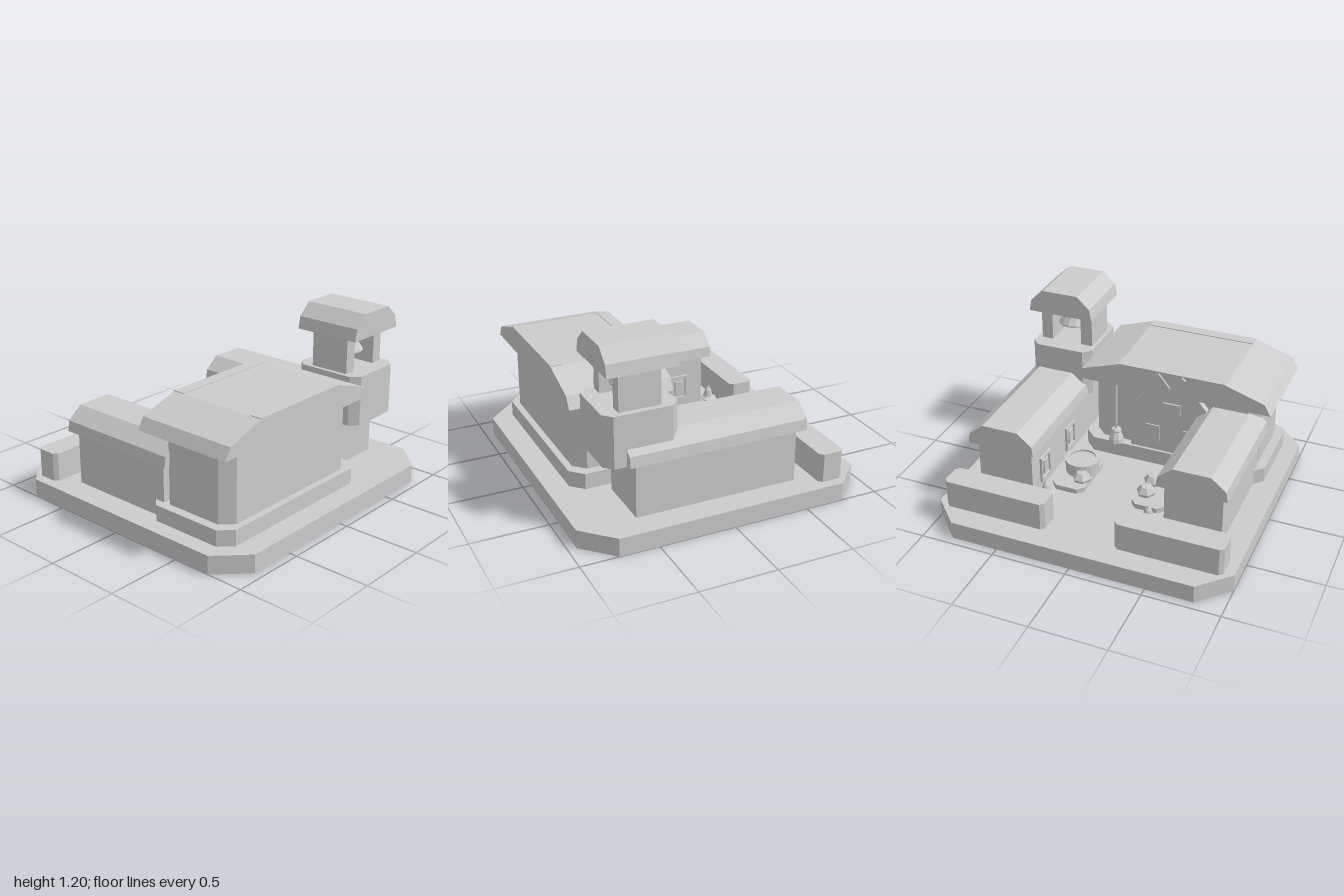
import * as THREE from 'three';

// double-sided because the ground slab is an open shell
const stone = new THREE.MeshStandardMaterial({ color: 0xcccccc, side: THREE.DoubleSide });
stone.name = 'plain grey';

export function createModel() {
  const root = new THREE.Group();
  root.name = 'courtyardBuilding';

  const add = (name, geo, x = 0, y = 0, z = 0) => {
    // split corners so every facet stays flat
    const flat = geo.index ? geo.toNonIndexed() : geo;
    flat.computeVertexNormals();
    const m = new THREE.Mesh(flat, stone);
    m.name = name;
    m.position.set(x, y, z);
    root.add(m);
    return m;
  };
  // box given by its limits
  const box = (name, x0, x1, y0, y1, z0, z1) =>
    add(name, new THREE.BoxGeometry(x1 - x0, y1 - y0, z1 - z0), (x0 + x1) / 2, (y0 + y1) / 2, (z0 + z1) / 2);
  // polygon in x and y, extruded along z
  const prism = (name, pts, z0, z1) => {
    const s = new THREE.Shape(pts.map(p => new THREE.Vector2(p[0], p[1])));
    return add(name, new THREE.ExtrudeGeometry(s, { depth: z1 - z0, bevelEnabled: false }), 0, 0, z0);
  };
  // rectangle with cut corners, as points in x and -z
  const cutRect = (x0, x1, z0, z1, c) => [[x0 + c, -z1], [x1 - c, -z1], [x1, -z1 + c], [x1, -z0 - c],
    [x1 - c, -z0], [x0 + c, -z0], [x0, -z0 - c], [x0, -z1 + c]].map(p => new THREE.Vector2(p[0], p[1]));
  // upright block with cut corners
  const block = (name, x0, x1, y0, y1, z0, z1, c) => {
    const s = new THREE.Shape(cutRect(x0, x1, z0, z1, c));
    const g = new THREE.ExtrudeGeometry(s, { depth: y1 - y0, bevelEnabled: false });
    g.rotateX(-Math.PI / 2);
    return add(name, g, 0, y0, 0);
  };
  const lathe = (name, pts, sides, x, y, z) =>
    add(name, new THREE.LatheGeometry(pts.map(p => new THREE.Vector2(p[0], p[1])), sides), x, y, z);
  // six-sided roof profile: half widths at eave, knee and ridge
  const roof = (name, cx, w, y, z0, z1) => prism(name, [
    [cx - w[0], y[0]], [cx + w[0], y[0]], [cx + w[1], y[1]],
    [cx + w[2], y[2]], [cx - w[2], y[2]], [cx - w[1], y[1]]], z0, z1);

  // ground slab: a top and a skirt, open underneath
  const rim = cutRect(-1, 1, -0.945, 0.945, 0.19);
  add('baseTop', new THREE.ShapeGeometry(new THREE.Shape(rim)).rotateX(-Math.PI / 2), 0, 0.12, 0);
  const skirt = [];
  rim.forEach((a, i) => {
    const b = rim[(i + 1) % rim.length];
    skirt.push(a.x, 0, -a.y, b.x, 0, -b.y, b.x, 0.12, -b.y, a.x, 0, -a.y, b.x, 0.12, -b.y, a.x, 0.12, -a.y);
  });
  add('baseSkirt', new THREE.BufferGeometry().setAttribute('position', new THREE.Float32BufferAttribute(skirt, 3)));

  // main hall
  block('hallPlinth', -0.89, 0.39, 0.12, 0.225, 0.16, 0.80, 0.08);
  block('hallWalls', -0.83, 0.33, 0.225, 0.70, 0.22, 0.757, 0.075);
  roof('hallRoof', -0.25, [0.675, 0.63, 0.37], [0.69, 0.765, 0.85], 0.14, 0.82);
  for (const z of [0.14, 0.74]) box('ridgeTrim', -0.62, 0.12, 0.849, 0.855, z, z + 0.08);
  box('hallSideWindow', 0.32, 0.35, 0.40, 0.53, 0.50, 0.65);

  // raised arch with windows and a plaque on the courtyard side
  prism('archPanel', [[-0.54, 0.22], [0.04, 0.22], [0.04, 0.54], [-0.09, 0.695],
    [-0.41, 0.695], [-0.54, 0.54]], 0.178, 0.23);
  for (const x of [-0.12, -0.38]) box('archWindow', x - 0.045, x + 0.045, 0.30, 0.42, 0.168, 0.18);
  box('archPlaque', -0.31, -0.19, 0.53, 0.61, 0.165, 0.18);
  for (const s of [-1, 1]) {
    const brace = box('gableBrace', -0.015, 0.015, 0, 0.15, 0.127, 0.142);
    brace.position.set(-0.25 + s * 0.045, 0.78, 0.134);
    brace.rotation.z = -s * 0.7;
  }

  // thin post with a flared foot beneath the eave
  lathe('porchPost', [[0, 0], [0.055, 0], [0.05, 0.03], [0.03, 0.075], [0.038, 0.085],
    [0.03, 0.1], [0.009, 0.105], [0.009, 0.47]], 8, 0.15, 0.225, 0.18);

  // side wings with inner windows, hedges, shrubs and garden beds
  for (const s of [-1, 1]) {
    const cx = s * 0.643;
    const end = s > 0 ? 0.575 : 0.25;
    box('wingWalls', cx - 0.19, cx + 0.19, 0.12, 0.48, -0.50, end);
    roof('wingRoof', cx, [0.23, 0.22, 0.122], [0.475, 0.545, 0.625], -0.553, end + 0.05);
    for (const z of [-0.32, 0.07]) {
      // frame of four bars around a recessed pane
      const a = s * 0.446, bar = (y0, y1, z0, z1) => box('wingWindowFrame', a - 0.009, a + 0.009, y0, y1, z0, z1);
      bar(0.17, 0.19, z - 0.07, z + 0.07);
      bar(0.33, 0.35, z - 0.07, z + 0.07);
      bar(0.19, 0.33, z - 0.07, z - 0.05);
      bar(0.19, 0.33, z + 0.05, z + 0.07);
      box('wingWindowPane', a - 0.008, a + 0.008, 0.21, 0.31, z - 0.03, z + 0.03);
    }

    const hx = s * 0.585;
    block('hedge', hx - 0.35, hx + 0.35, 0.12, 0.31, -0.795, -0.625, 0.025);

    // shrub in a small pot
    lathe('shrub', [[0, 0], [0.045, 0], [0.025, 0.045], [0.06, 0.07], [0.035, 0.085],
      [0.022, 0.13], [0, 0.165]], 8, s * 0.352, 0.12, -0.507);

    block('gardenBed', s * 0.28 - 0.113, s * 0.28 + 0.113, 0.12, 0.155, -0.365, 0.025, 0.04);
  }

  // rocks on the beds
  for (const [x, z] of [[-0.23, -0.23], [-0.23, -0.1], [0.22, -0.245]]) {
    const rock = lathe('rock', [[0.055, 0], [0.065, 0.025], [0.035, 0.065], [0, 0.07]], 6, x, 0.15, z);
    rock.rotation.y = Math.PI / 6;
  }

  // round well with a raised rim
  lathe('well', [[0, 0], [0.113, 0], [0.113, 0.07], [0.12, 0.075], [0.12, 0.1],
    [0.09, 0.1], [0.09, 0.085], [0, 0.085]], 20, 0.265, 0.15, -0.13);

  // bell tower
  block('towerBody', 0.388, 0.825, 0.467, 0.80, 0.28, 0.757, 0.053);
  box('belfryWall', 0.415, 0.497, 0.79, 1.05, 0.39, 0.657);
  box('belfryWall', 0.708, 0.787, 0.79, 1.05, 0.39, 0.657);
  roof('towerRoof', 0.603, [0.228, 0.212, 0.125], [1.04, 1.12, 1.2], 0.297, 0.743);

  // bell, its mount and clapper
  box('bellMount', 0.577, 0.627, 1.01, 1.045, 0.498, 0.548);
  lathe('bell', [[0, 0.012], [0.09, 0.004], [0.106, 0], [0.106, 0.01], [0.08, 0.045],
    [0.058, 0.085], [0.045, 0.125], [0, 0.125]], 12, 0.602, 0.893, 0.523);
  add('clapper', new THREE.CylinderGeometry(0.01, 0.018, 0.05, 8), 0.602, 0.89, 0.523);

  return root;
}
